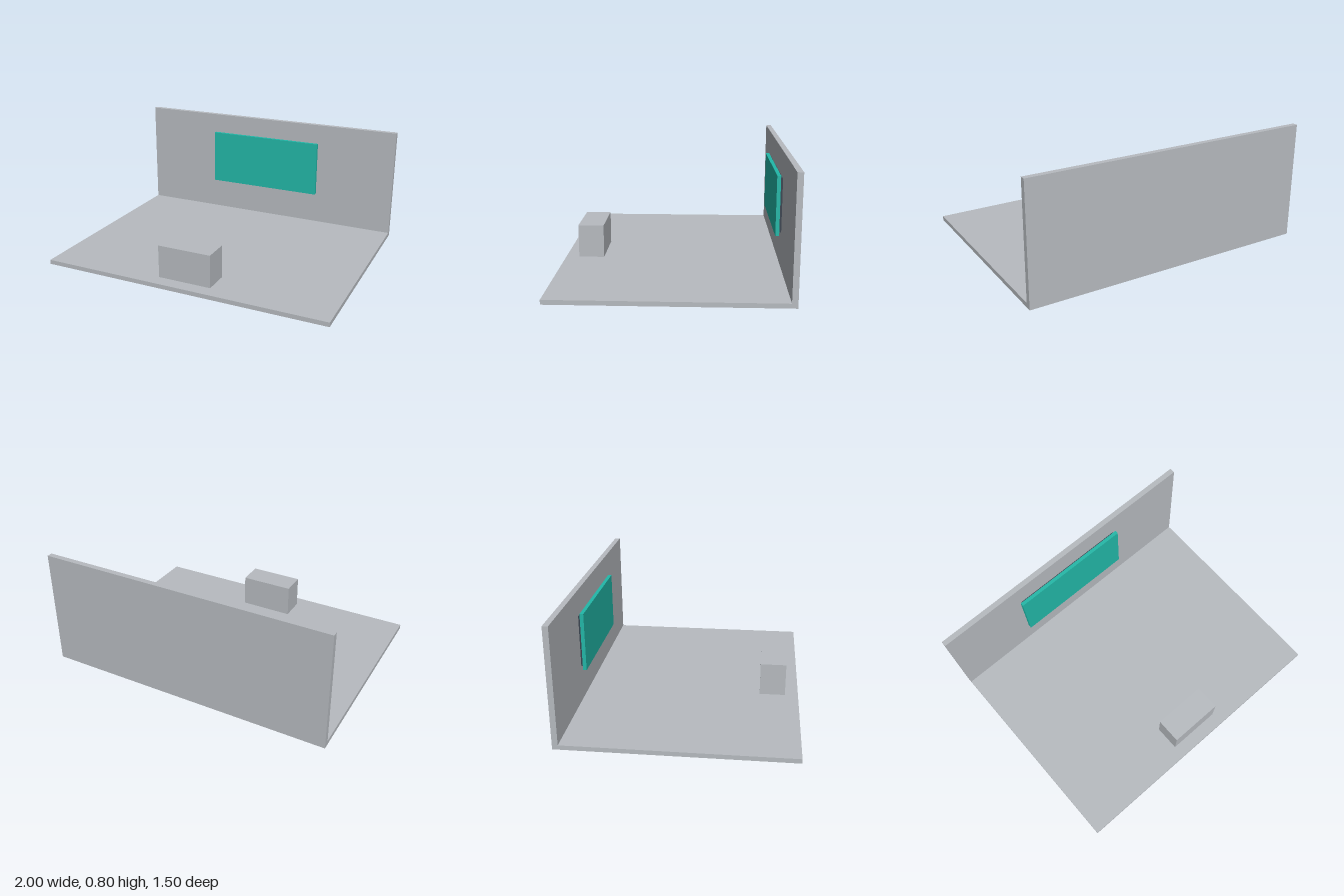
import * as THREE from 'three';

const material = (name, color) => {
  const m = new THREE.MeshStandardMaterial({ color });
  m.name = name;
  return m;
};

// Box given by its [min, max] range along each axis
function slab(name, mat, [x0, x1], [y0, y1], [z0, z1]) {
  const mesh = new THREE.Mesh(new THREE.BoxGeometry(x1 - x0, y1 - y0, z1 - z0), mat);
  mesh.position.set((x0 + x1) / 2, (y0 + y1) / 2, (z0 + z1) / 2);
  mesh.name = name;
  return mesh;
}

export function createModel() {
  const grey = material('light grey', 0xb7bbc0);
  const teal = material('teal', 0x22b8a8);
  const dark = material('dark slate', 0x3a4450);

  const model = new THREE.Group();
  model.name = 'room';

  // Floor and back wall meet at the rear edge
  model.add(slab('floor', grey, [-1, 1], [0, 0.03], [-0.713, 0.75]));
  model.add(slab('backWall', grey, [-1, 1], [0, 0.8], [-0.75, -0.713]));

  // Block standing near the front of the floor
  model.add(slab('block', grey, [-0.186, 0.186], [0.03, 0.255], [0.486, 0.66]));

  // Wall display: a panel with a slightly smaller backing, just clear of the wall
  const display = new THREE.Group();
  display.name = 'wallDisplay';
  display.add(slab('panel', teal, [-0.426, 0.426], [0.265, 0.663], [-0.69, -0.665]));
  display.add(slab('backing', dark, [-0.411, 0.411], [0.286, 0.642], [-0.704, -0.69]));
  model.add(display);

  return model;
}
